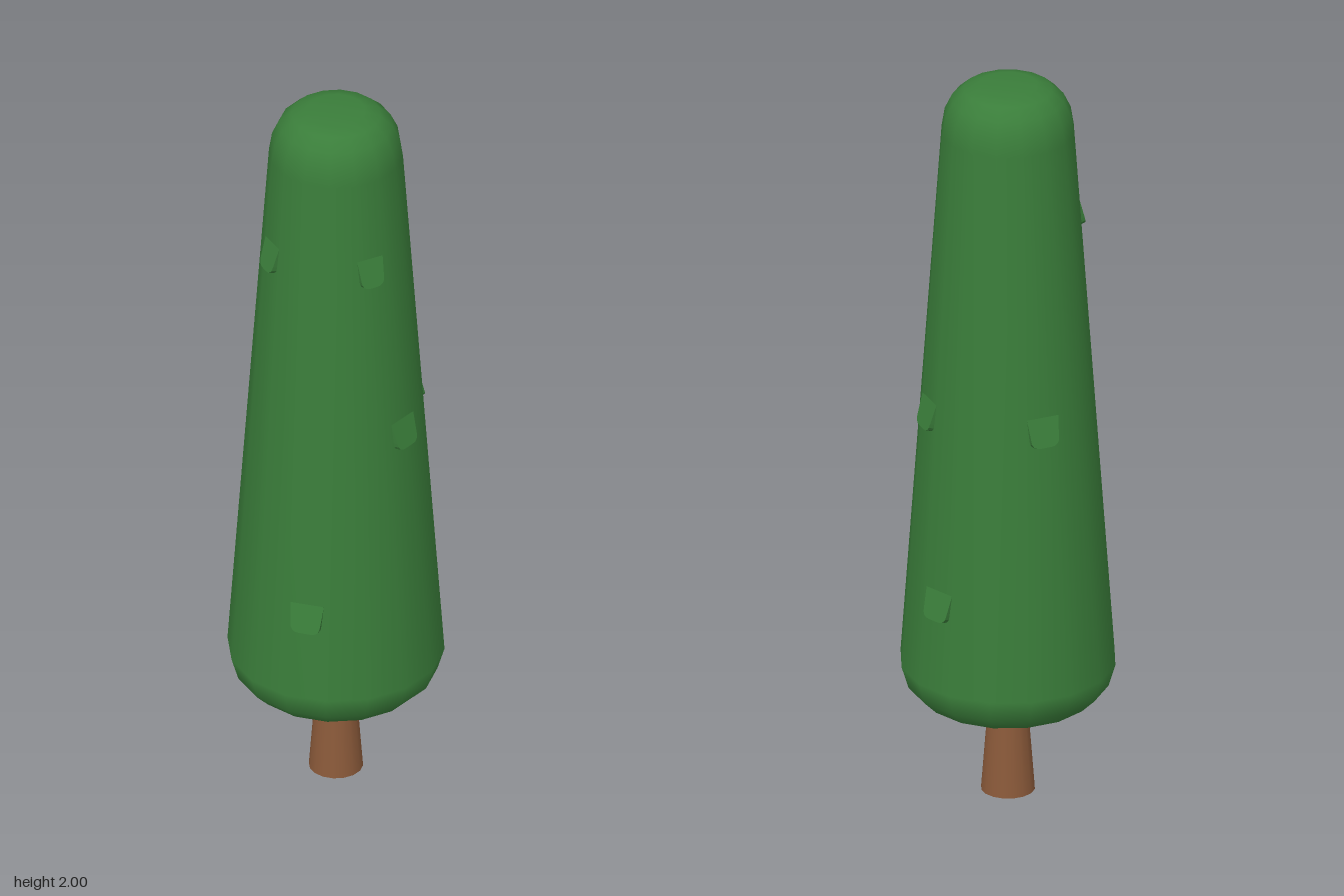
import * as THREE from 'three';

const SIDES = 16;
const foliageMat = new THREE.MeshStandardMaterial({ name: 'foliage green', color: 0x3a7d3a });
const barkMat = new THREE.MeshStandardMaterial({ name: 'bark brown', color: 0x8b5a3a });

// Radius of the tapering crown at height y
const crownRadius = (y) => 0.28 - ((y - 0.37) / 1.5) * 0.107;

function mesh(name, geometry, material) {
  const m = new THREE.Mesh(geometry, material);
  m.name = name;
  return m;
}

// Small leaf flap hanging from its top edge, with rounded lower corners
function flapGeometry(width) {
  const h = 0.079, w = width / 2, b = w * 0.88, r = 0.024;
  const s = new THREE.Shape();
  s.moveTo(-w, 0);
  s.lineTo(-b, -h + r);
  s.quadraticCurveTo(-b, -h, -b + r, -h);
  s.lineTo(b - r, -h);
  s.quadraticCurveTo(b, -h, b, -h + r);
  s.lineTo(w, 0);
  s.closePath();
  const g = new THREE.ExtrudeGeometry(s, { depth: 0.03, bevelEnabled: false, curveSegments: 4 });
  return g.translate(0, 0, -0.03);
}

export function createModel() {
  const tree = new THREE.Group();
  tree.name = 'columnTree';

  // Trunk, running a little way into the crown
  const trunk = mesh('trunk', new THREE.CylinderGeometry(0.047, 0.07, 0.3, SIDES), barkMat);
  trunk.position.y = 0.15;
  tree.add(trunk);

  // Crown: tapered column with rounded ends
  const profile = [
    [0, 0.26], [0.18, 0.26], [0.225, 0.273], [0.262, 0.31], [0.28, 0.37],
    [0.173, 1.87], [0.165, 1.92], [0.146, 1.96], [0.115, 1.988], [0.075, 2], [0, 2],
  ].map(([r, y]) => new THREE.Vector2(r, y));
  tree.add(mesh('crown', new THREE.LatheGeometry(profile, SIDES), foliageMat));

  // Leaf flaps, each lying on the middle of a crown facet: [facet, top height, width]
  const flaps = [
    [0.5, 1.65, 0.074], [-3.5, 1.65, 0.074],
    [1.5, 1.147, 0.088], [4.5, 1.147, 0.088], [8.5, 1.147, 0.088],
    [-1.5, 0.645, 0.09], [5.5, 0.645, 0.09],
  ];
  for (const [facet, top, width] of flaps) {
    const pivot = new THREE.Group();
    pivot.name = 'leafFlap';
    pivot.rotation.y = (facet * 2 * Math.PI) / SIDES;
    const flap = mesh('leaf', flapGeometry(width), foliageMat);
    flap.position.set(0, top, crownRadius(top) * Math.cos(Math.PI / SIDES));
    flap.rotation.x = -0.29;
    pivot.add(flap);
    tree.add(pivot);
  }
  return tree;
}
